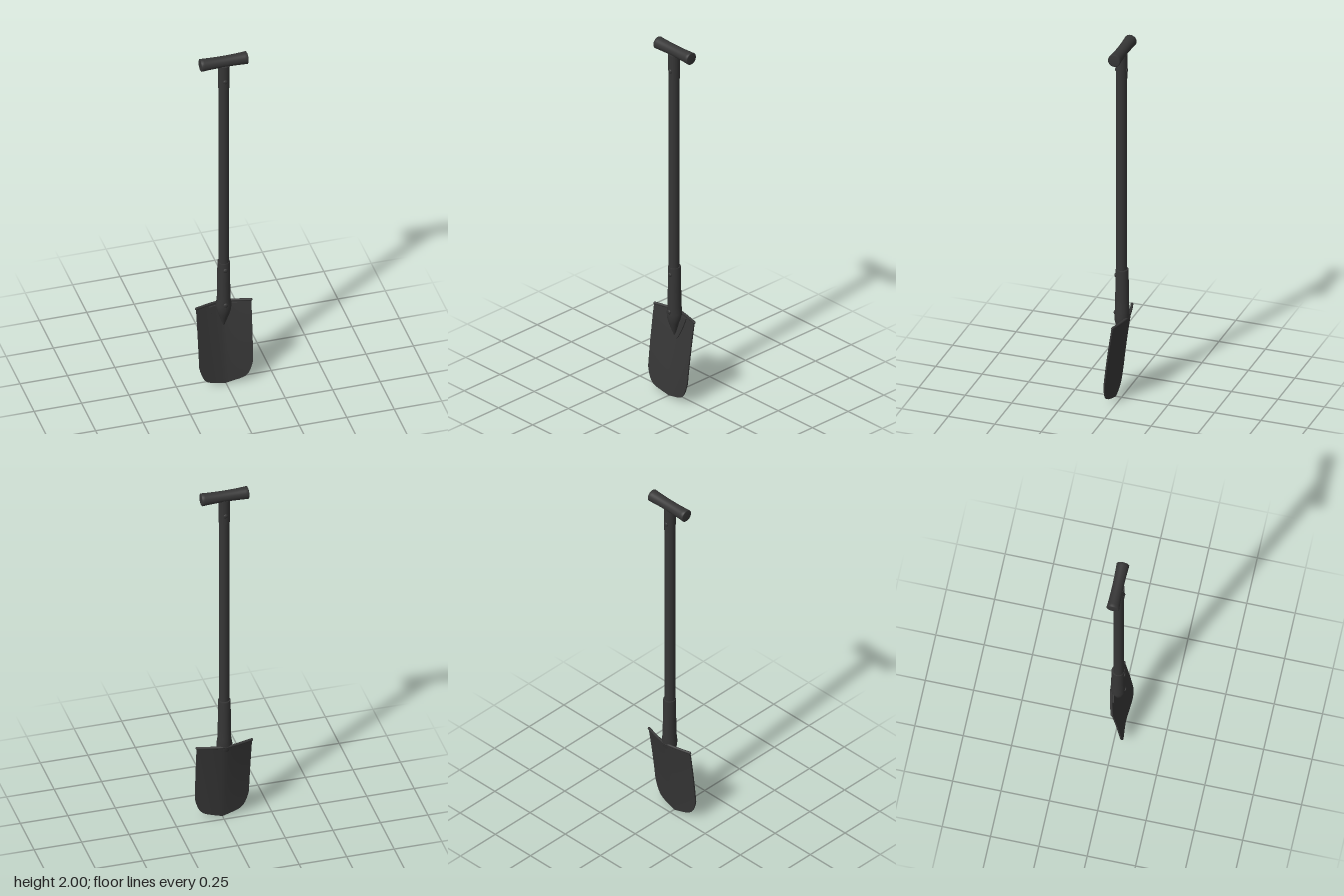
import * as THREE from 'three';

const material = new THREE.MeshStandardMaterial({ color: 0x363636 });

// Back surface of the dished blade; s is 0 at the middle and 1 at the side edge
const HALF = 0.145, TOP = 0.462;
const bladeZ = (x, y) => {
  const s = Math.min(1, Math.abs(x) / HALF);
  return 0.03 - 0.105 * y - 0.098 * y * y + (0.02 + 0.026 * y) * Math.pow(s, 1.3);
};

// Slab that follows the blade between a lower and an upper outline
function sheet(halfWidth, bottom, top, lift, thickness) {
  const geo = new THREE.BoxGeometry(2, 1, 1, 32, 20, 1);
  const p = geo.attributes.position;
  for (let i = 0; i < p.count; i++) {
    const s = Math.sin(p.getX(i) * Math.PI / 2);
    const v = p.getY(i) + 0.5;
    const y = THREE.MathUtils.lerp(bottom(Math.abs(s)), top, v);
    const x = s * halfWidth * (0.965 + 0.035 * y / TOP);
    p.setXYZ(i, x, y, bladeZ(x, y) + lift + (p.getZ(i) + 0.5) * thickness);
  }
  geo.computeVertexNormals();
  return geo;
}

// Tube of elliptical sections, listed from top to bottom as [y, z, rx, rz]
function ellipseLoft(stations) {
  const n = stations.length - 1;
  const geo = new THREE.CylinderGeometry(1, 1, 1, 28, n);
  const p = geo.attributes.position;
  for (let i = 0; i < p.count; i++) {
    const [y, z, rx, rz] = stations[Math.round((0.5 - p.getY(i)) * n)];
    p.setXYZ(i, p.getX(i) * rx, y, z + p.getZ(i) * rz);
  }
  geo.computeVertexNormals();
  return geo;
}

export function createModel() {
  const group = new THREE.Group();
  const add = (name, geo, x = 0, y = 0, z = 0) => {
    const mesh = new THREE.Mesh(geo, material);
    mesh.name = name;
    mesh.position.set(x, y, z);
    group.add(mesh);
    return mesh;
  };

  // Blade with rounded lower corners and a shallow point
  add('blade', sheet(HALF, s => 0.035 * s + 0.085 * Math.pow(s, 8), TOP, 0, 0.008));

  // Rolled tread along the top edge
  const edge = [];
  for (let i = 0; i <= 16; i++) {
    const x = HALF * (i / 8 - 1);
    edge.push(new THREE.Vector3(x, TOP - 0.002, bladeZ(x, TOP) + 0.004));
  }
  add('tread', new THREE.TubeGeometry(new THREE.CatmullRomCurve3(edge), 32, 0.007, 10));
  for (const end of [edge[0], edge[16]]) {
    add('treadEnd', new THREE.SphereGeometry(0.007, 10, 8), end.x, end.y, end.z);
  }

  // Curved reinforcing plate on the front of the blade
  add('tongue', sheet(0.074, s => 0.31 + 0.13 * Math.pow(s, 1.8), 0.45, 0.004, 0.011));

  // Socket, tapering down into the blade
  add('socket', ellipseLoft([
    [0.73, -0.003, 0.031, 0.032], [0.725, -0.003, 0.032, 0.033],
    [0.6, -0.003, 0.033, 0.035], [0.5, -0.003, 0.035, 0.037],
    [0.465, -0.003, 0.041, 0.039], [0.435, -0.001, 0.037, 0.035],
    [0.41, 0.002, 0.029, 0.026], [0.385, 0, 0.021, 0.019],
    [0.36, -0.003, 0.013, 0.013], [0.335, -0.006, 0.005, 0.007],
  ]));

  // Shaft and its upper ferrule
  add('shaft', new THREE.CylinderGeometry(0.027, 0.027, 1.4, 24), 0, 1.25, 0);
  add('ferrule', new THREE.CylinderGeometry(0.03, 0.029, 0.14, 24), 0, 1.88, 0);

  // Rivets through socket and ferrule
  const rivet = new THREE.SphereGeometry(0.012, 14, 10).scale(1, 1, 0.5);
  add('socketRivet', rivet, 0, 0.69, 0.031);
  add('socketRivet', rivet, 0, 0.478, 0.035);
  for (const z of [-0.028, 0.028]) add('ferruleRivet', rivet, 0, 1.86, z);

  // Waisted cross grip
  const profile = [new THREE.Vector2(0, -0.124), new THREE.Vector2(0.028, -0.124)];
  for (let i = 0; i <= 16; i++) {
    const t = i / 8 - 1;
    profile.push(new THREE.Vector2(0.029 + 0.004 * t * t, t * 0.121));
  }
  profile.push(new THREE.Vector2(0.028, 0.124), new THREE.Vector2(0, 0.124));
  const grip = add('grip', new THREE.LatheGeometry(profile, 28), 0, 1.967, -0.004);
  grip.rotation.z = Math.PI / 2;

  return group;
}
